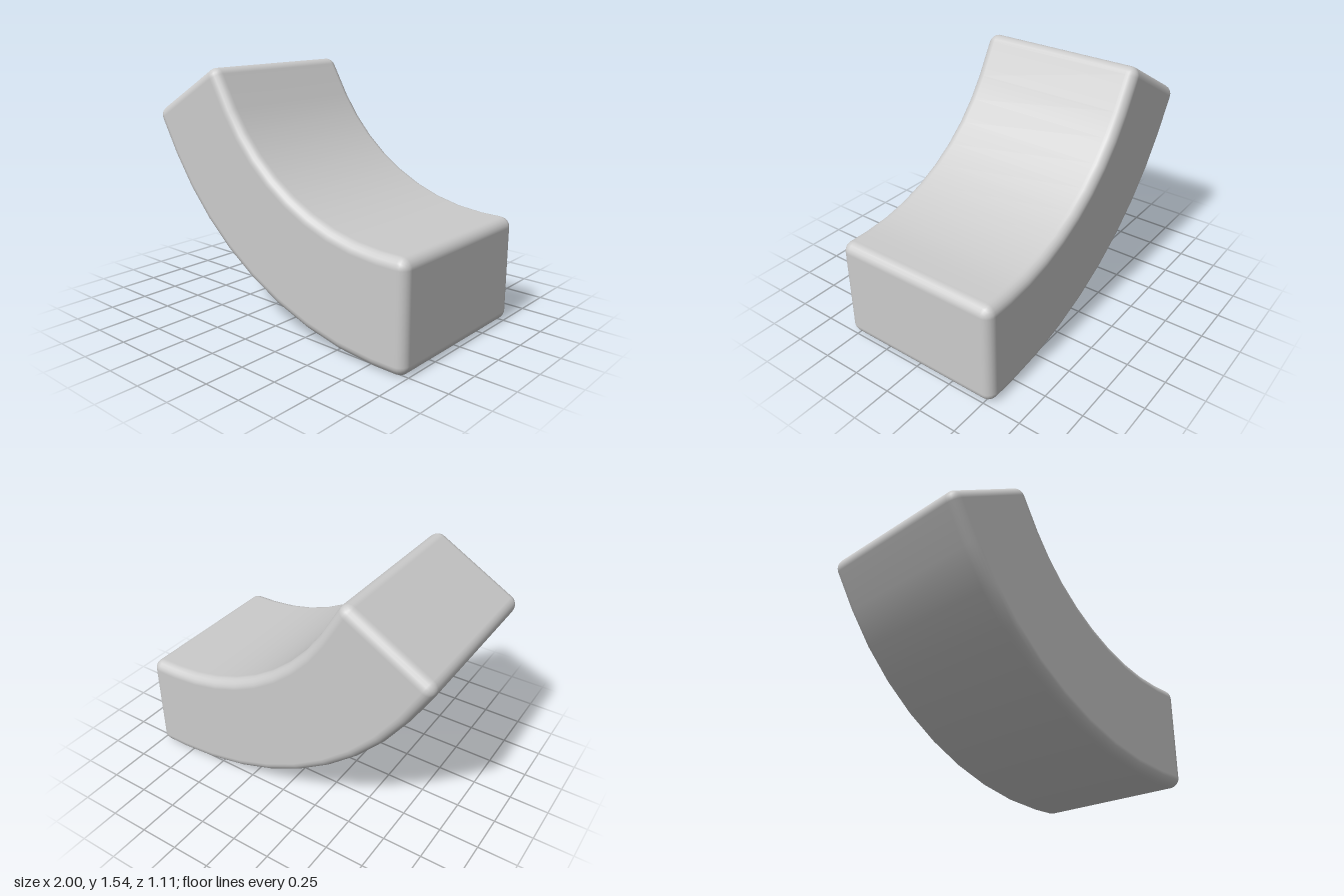
import * as THREE from 'three';

// Curved block: a rounded rectangle swept along a 60 degree arc with short straight ends.
const CENTRE = new THREE.Vector2(0.855, 2.025);
const MID_RADIUS = 1.694, THICKNESS = 0.662, DEPTH = 1.11, BEVEL = 0.063;
const START_LENGTH = 0.145, END_LENGTH = 0.252;
const CORNER_STEPS = 5, ARC_STEPS = 8;

// Each station: arc angle, straight run past the arc, and bevel tilt along the path.
function makeStations() {
  const stations = [];
  const quarter = Math.PI / 2;
  for (let k = 0; k <= CORNER_STEPS; k++)
    stations.push({ angle: 0, run: BEVEL - START_LENGTH, tilt: (k / CORNER_STEPS - 1) * quarter });
  for (let k = 0; k <= ARC_STEPS; k++)
    stations.push({ angle: THREE.MathUtils.degToRad(2 + 7.03 * k), run: 0, tilt: 0 });
  for (let k = 0; k <= CORNER_STEPS; k++)
    stations.push({ angle: Math.PI / 3, run: END_LENGTH - BEVEL, tilt: (k / CORNER_STEPS) * quarter });
  return stations;
}

function curvedBlockGeometry() {
  const positions = [], normals = [], index = [];
  const coreR = THICKNESS / 2 - BEVEL, coreZ = DEPTH / 2 - BEVEL;
  const signs = [[1, 1], [-1, 1], [-1, -1], [1, -1]];
  const stations = makeStations();
  const perCorner = CORNER_STEPS + 1, ring = perCorner * 4;

  for (const { angle, run, tilt } of stations) {
    const out = new THREE.Vector3(-Math.sin(angle), -Math.cos(angle), 0);
    const along = new THREE.Vector3(-Math.cos(angle), Math.sin(angle), 0);
    signs.forEach(([sr, sz], corner) => {
      const core = new THREE.Vector3(CENTRE.x, CENTRE.y, sz * coreZ)
        .addScaledVector(out, MID_RADIUS + sr * coreR)
        .addScaledVector(along, run);
      for (let k = 0; k <= CORNER_STEPS; k++) {
        const theta = (corner + k / CORNER_STEPS) * Math.PI / 2;
        const n = new THREE.Vector3(0, 0, Math.sin(theta) * Math.cos(tilt))
          .addScaledVector(out, Math.cos(theta) * Math.cos(tilt))
          .addScaledVector(along, Math.sin(tilt));
        positions.push(...core.clone().addScaledVector(n, BEVEL).toArray());
        normals.push(...n.toArray());
      }
    });
  }

  // Skin between neighbouring rings
  for (let i = 0; i < stations.length - 1; i++) {
    for (let j = 0; j < ring; j++) {
      const a = i * ring + j, b = i * ring + (j + 1) % ring;
      index.push(a, b, b + ring, a, b + ring, a + ring);
    }
  }
  // Flat end faces
  const p = perCorner, last = (stations.length - 1) * ring;
  index.push(0, 2 * p, p, 0, 3 * p, 2 * p);
  index.push(last, last + p, last + 2 * p, last, last + 2 * p, last + 3 * p);

  const geometry = new THREE.BufferGeometry();
  geometry.setAttribute('position', new THREE.Float32BufferAttribute(positions, 3));
  geometry.setAttribute('normal', new THREE.Float32BufferAttribute(normals, 3));
  geometry.setIndex(index);
  return geometry;
}

export function createModel() {
  const group = new THREE.Group();
  group.name = 'curvedBlockModel';
  const block = new THREE.Mesh(
    curvedBlockGeometry(),
    new THREE.MeshStandardMaterial({ color: 0xcccccc })
  );
  block.name = 'curvedBlock';
  group.add(block);
  return group;
}
